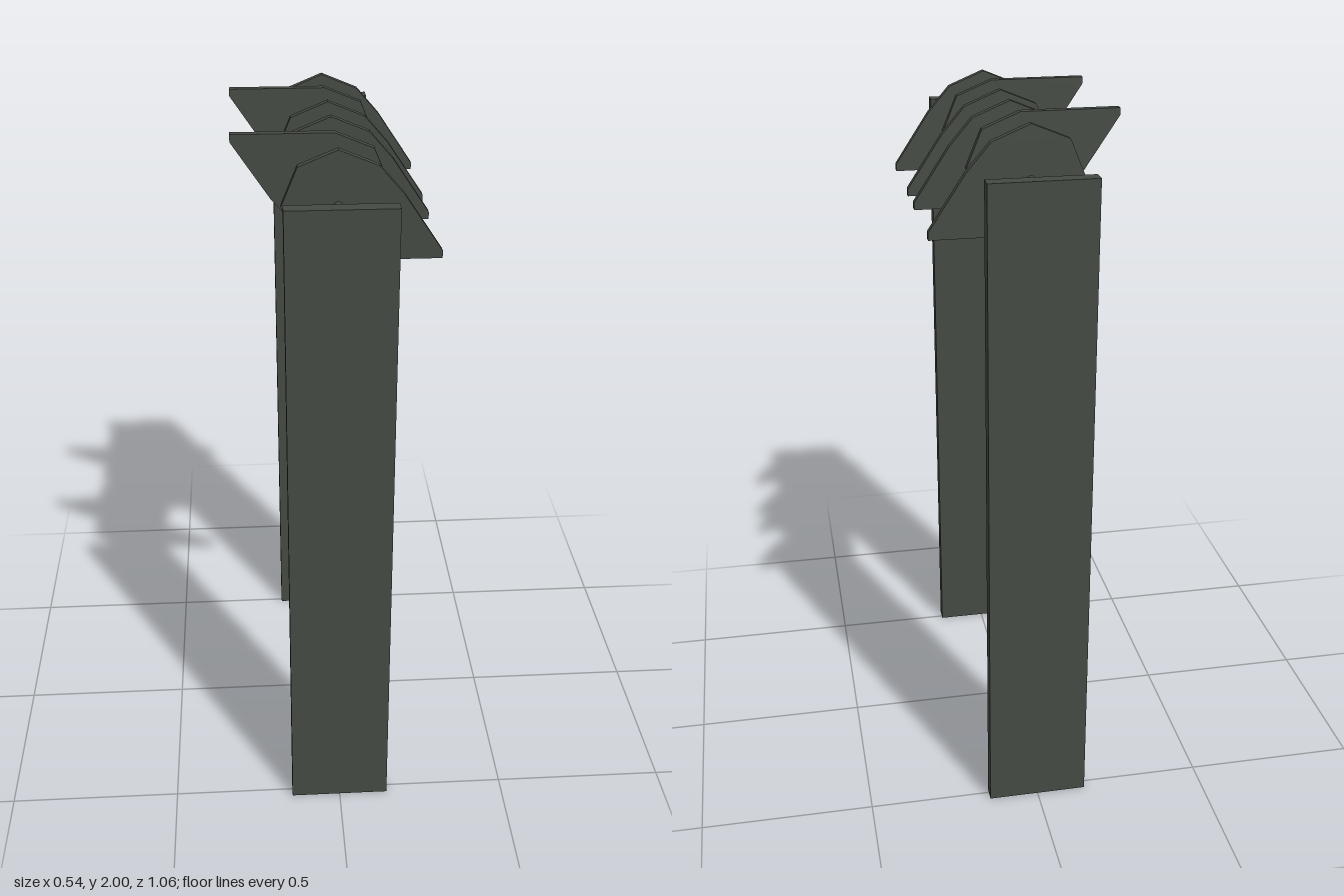
import * as THREE from 'three';

export function createModel() {
  const model = new THREE.Group();
  const material = new THREE.MeshStandardMaterial({ color: 0x454a43 });
  material.name = 'dark grey green';
  const axleY = 1.853;

  const add = (name, geometry, x, y, z) => {
    const mesh = new THREE.Mesh(geometry, material);
    mesh.name = name;
    mesh.position.set(x, y, z);
    model.add(mesh);
    return mesh;
  };

  // Two upright supports
  const post = new THREE.BoxGeometry(0.29, 1.895, 0.042);
  add('frontPost', post, 0, 0.9475, 0.508);
  add('backPost', post, 0, 0.9475, -0.508);

  // Axle, fixed in the front post and stopping short of the back one
  const axle = new THREE.CylinderGeometry(0.013, 0.013, 0.94, 12).rotateX(Math.PI / 2);
  add('axle', axle, 0, axleY, 0.02);

  // Cam outline: half an octagon with a blunt pointed lobe
  const outline = [
    [0, -0.147], [0.272, -0.147], [0.272, -0.127], [0.17, 0.027], [0.104, 0.104],
    [0, 0.147], [-0.104, 0.104], [-0.147, 0], [-0.104, -0.104],
  ].map(([x, y]) => new THREE.Vector2(x, y));
  const thickness = 0.022;
  const cam = new THREE.ExtrudeGeometry(new THREE.Shape(outline), { depth: thickness, bevelEnabled: false });
  cam.translate(0, 0, -thickness / 2);

  // Six evenly spaced cams, the second from each end turned half a revolution
  for (let i = 0; i < 6; i++) {
    const mesh = add(`cam${i + 1}`, cam, 0, axleY, -0.35 + i * 0.145);
    if (i === 1 || i === 4) mesh.rotation.z = Math.PI;
  }

  return model;
}
